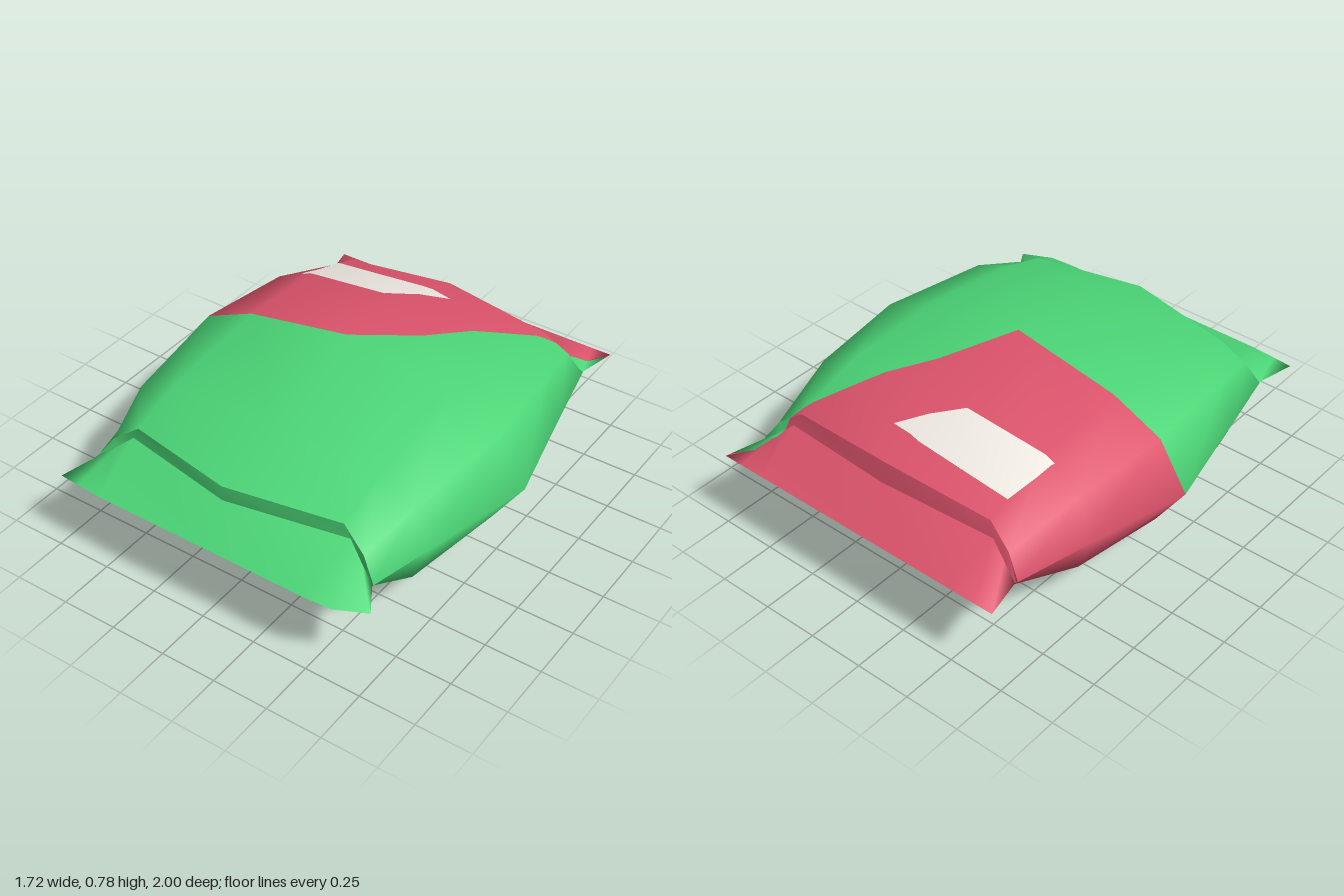
import * as THREE from 'three';

const MID = 0.375;

// Closed cross-section: 12 points from the +x edge over the top to -x and back underneath.
// z: [centre, middle, edge]; x: [middle, shoulder, edge]; top / bottom: heights at [centre, middle, shoulder]
function ring({ z, x, top, bottom, zBottom = z }) {
  const [xm, xs, xe] = x;
  const half = (h, zz) => [
    [xs, h[2], (zz[1] + zz[2]) / 2], [xm, h[1], zz[1]], [0, h[0], zz[0]],
    [-xm, h[1], zz[1]], [-xs, h[2], (zz[1] + zz[2]) / 2],
  ];
  return [[xe, MID, z[2]], ...half(top, z), [-xe, MID, z[2]], ...half(bottom, zBottom).reverse()];
}

const flat = [MID, MID, MID];
const backTip = ring({ z: [-1, -1, -1], x: [0.5, 0.62, 0.71], top: flat, bottom: flat });
const backBase = ring({ z: [-0.82, -0.78, -0.82], x: [0.53, 0.6, 0.67], top: [0.5, 0.49, 0.43], bottom: [0.285, 0.28, 0.33], zBottom: [-0.79, -0.78, -0.82] });
const backCrest = ring({ z: [-0.8, -0.76, -0.81], x: [0.5, 0.61, 0.675], top: [0.59, 0.55, 0.47], bottom: [0.2, 0.22, 0.29], zBottom: [-0.73, -0.73, -0.8] });
const backRing = ring({ z: [-0.45, -0.45, -0.45], x: [0.5, 0.68, 0.755], top: [0.7, 0.65, 0.56], bottom: [0.09, 0.13, 0.2] });
const middle = ring({ z: [0, 0, 0], x: [0.49, 0.725, 0.86], top: [0.78, 0.69, 0.585], bottom: [0, 0.09, 0.17] });
const frontRing = ring({ z: [0.52, 0.52, 0.52], x: [0.5, 0.67, 0.74], top: [0.67, 0.615, 0.55], bottom: [0.16, 0.17, 0.2] });
const frontCrest = ring({ z: [0.84, 0.74, 0.8], x: [0.5, 0.61, 0.675], top: [0.56, 0.55, 0.47], bottom: [0.17, 0.19, 0.29], zBottom: [0.7, 0.7, 0.79] });
const frontBase = ring({ z: [0.84, 0.74, 0.8], x: [0.53, 0.6, 0.67], top: [0.49, 0.49, 0.43], bottom: [0.28, 0.275, 0.33], zBottom: [0.79, 0.74, 0.8] });
const frontTip = ring({ z: [1, 1, 0.985], x: [0.5, 0.62, 0.71], top: flat, bottom: flat });
frontTip[0] = [0.75, MID, 0.93];

// Skin a run of rings (back to front) with smooth normals; returns triangles of [x,y,z,nx,ny,nz]
function skin(rings) {
  const n = rings[0].length;
  const index = [];
  for (let r = 0; r < rings.length - 1; r++) {
    for (let i = 0; i < n; i++) {
      const a = r * n + i, a2 = r * n + ((i + 1) % n);
      index.push(a, a2, a + n, a2, a2 + n, a + n);
    }
  }
  const geo = new THREE.BufferGeometry();
  geo.setAttribute('position', new THREE.Float32BufferAttribute(rings.flat(2), 3));
  geo.setIndex(index);
  geo.computeVertexNormals();
  const p = geo.attributes.position.array, m = geo.attributes.normal.array;
  const vertex = (i) => [...p.slice(i * 3, i * 3 + 3), ...m.slice(i * 3, i * 3 + 3)];
  const tris = [];
  for (let i = 0; i < index.length; i += 3) tris.push([0, 1, 2].map((k) => vertex(index[i + k])));
  return tris;
}

// Keep the part of a polygon where f(x, z) >= 0
function clip(poly, f) {
  const out = [];
  poly.forEach((a, i) => {
    const b = poly[(i + 1) % poly.length];
    const da = f(a[0], a[2]), db = f(b[0], b[2]);
    if (da >= 0) out.push(a);
    if ((da > 0 && db < 0) || (da < 0 && db > 0)) {
      const t = da / (da - db);
      out.push(a.map((v, k) => v + (b[k] - v) * t));
    }
  });
  return out;
}

// Mesh of all triangles cut to each of the given convex regions
function panel(name, tris, regions, color, lift = 0) {
  const pos = [], nor = [];
  for (const planes of regions) {
    for (const tri of tris) {
      const poly = planes.reduce(clip, tri);
      for (let i = 1; i < poly.length - 1; i++) {
        for (const v of [poly[0], poly[i], poly[i + 1]]) {
          pos.push(v[0], v[1] + lift, v[2]);
          nor.push(v[3], v[4], v[5]);
        }
      }
    }
  }
  const geo = new THREE.BufferGeometry();
  geo.setAttribute('position', new THREE.Float32BufferAttribute(pos, 3));
  geo.setAttribute('normal', new THREE.Float32BufferAttribute(nor, 3));
  const mesh = new THREE.Mesh(geo, new THREE.MeshStandardMaterial({ color, side: THREE.DoubleSide }));
  mesh.name = name;
  return mesh;
}

export function createModel() {
  const group = new THREE.Group();
  group.name = 'snackBag';

  // Colour regions seen from above
  const front = (x, z) => z;
  const back = (x, z) => -z;
  const rightOfSeam = (x, z) => x + 0.72 * z;
  const leftOfSeam = (x, z) => -x - 0.72 * z;
  const green = [[front], [back, rightOfSeam]];
  const red = [[back, leftOfSeam]];

  // Puffed body and the two crimped end seals
  const body = skin([backCrest, backRing, middle, frontRing, frontCrest]);
  const parts = {
    Body: body,
    BackSeal: [...skin([backTip, backBase]), ...skin([backBase, backCrest])],
    FrontSeal: [...skin([frontCrest, frontBase]), ...skin([frontBase, frontTip])],
  };
  for (const [name, tris] of Object.entries(parts)) {
    group.add(panel('green' + name, tris, green, 0x4cd677));
    if (name !== 'FrontSeal') group.add(panel('red' + name, tris, red, 0xdd546c));
  }

  // Pale label draped over the top
  const corners = [[-0.5, -0.66], [-0.05, -0.66], [0.1, -0.64], [-0.11, -0.44], [-0.54, -0.43]];
  const edges = corners.map(([ax, az], i) => {
    const [bx, bz] = corners[(i + 1) % corners.length];
    return (x, z) => (bx - ax) * (z - az) - (bz - az) * (x - ax);
  });
  const topTris = body.filter((t) => t.every((v) => v[1] >= MID));
  group.add(panel('label', topTris, [edges], 0xf0ebe3, 0.004));

  return group;
}
